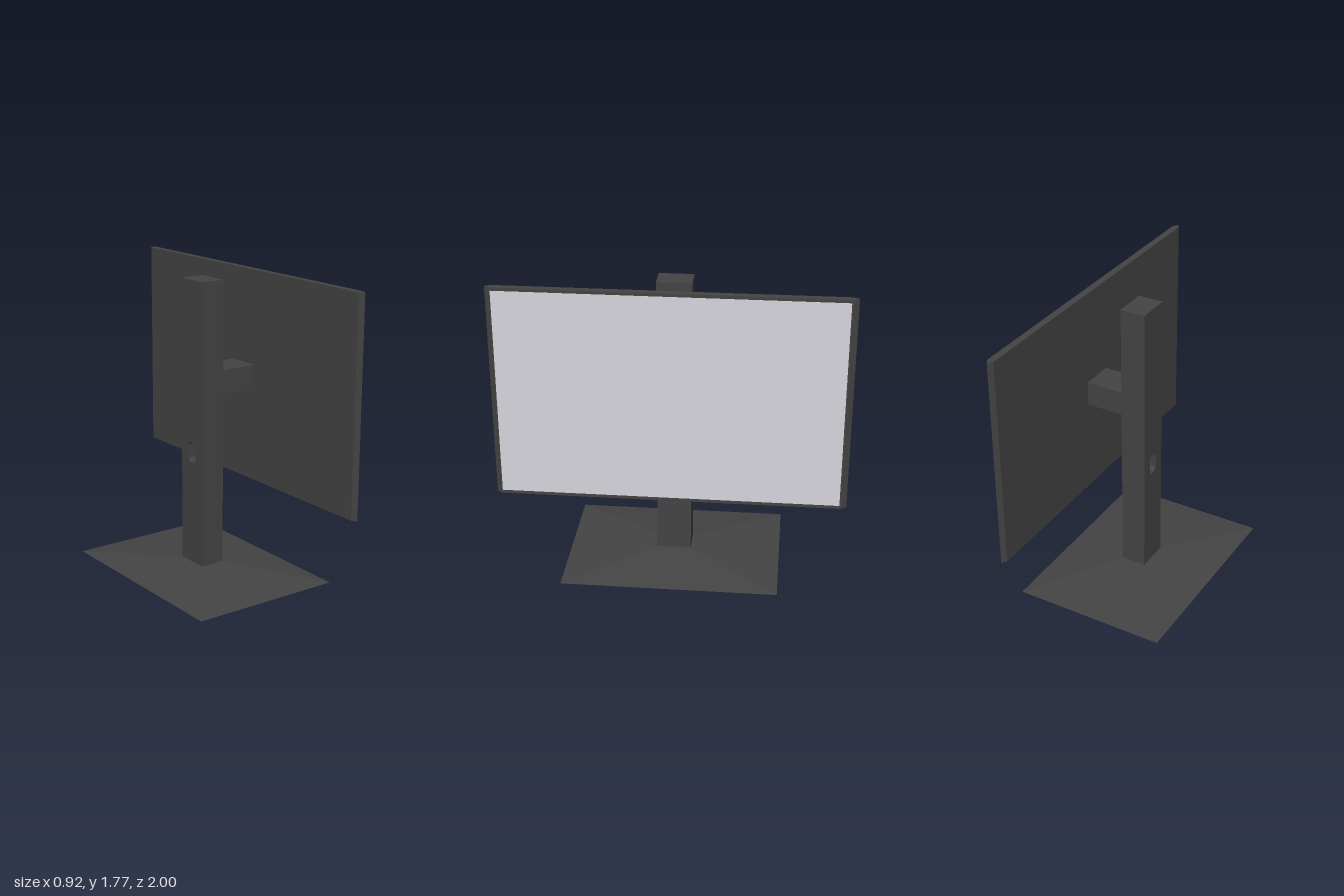
import * as THREE from 'three';

const dark = new THREE.MeshStandardMaterial({ color: 0x444444 });
const light = new THREE.MeshStandardMaterial({ color: 0xd6d5dc });

function add(parent, name, geometry, material = dark) {
  const mesh = new THREE.Mesh(geometry, material);
  mesh.name = name;
  parent.add(mesh);
  return mesh;
}

// Box given by its limits on each axis
function span(x0, x1, y0, y1, z0, z1) {
  return new THREE.BoxGeometry(x1 - x0, y1 - y0, z1 - z0)
    .translate((x0 + x1) / 2, (y0 + y1) / 2, (z0 + z1) / 2);
}

// Rectangle with clipped corners, centred on z = 0
function clippedPath(halfWidth, y0, y1, clip) {
  const w = halfWidth, c = clip;
  return new THREE.Path([
    [-w + c, y0], [w - c, y0], [w, y0 + c], [w, y1 - c],
    [w - c, y1], [-w + c, y1], [-w, y1 - c], [-w, y0 + c],
  ].map(([x, y]) => new THREE.Vector2(x, y)));
}

// Column layer from x0 to x1, optionally cut by a hole
function columnLayer(x0, x1, y0, y1, halfWidth, hole) {
  const shape = new THREE.Shape([
    [-halfWidth, y0], [halfWidth, y0], [halfWidth, y1], [-halfWidth, y1],
  ].map(([x, y]) => new THREE.Vector2(x, y)));
  if (hole) shape.holes.push(hole);
  return new THREE.ExtrudeGeometry(shape, { depth: x1 - x0, bevelEnabled: false })
    .rotateY(Math.PI / 2).translate(x0, 0, 0);
}

export function createModel() {
  const model = new THREE.Group();
  model.name = 'monitor';

  // Base: a low plate sloping up to the foot of the column
  const baseGeometry = span(-0.46, 0.46, 0, 0.05, -0.63, 0.63);
  const p = baseGeometry.attributes.position;
  for (let i = 0; i < p.count; i++) {
    if (p.getY(i) > 0.02) {
      p.setX(i, Math.sign(p.getX(i)) * 0.075);
      p.setZ(i, Math.sign(p.getZ(i)) * 0.1);
    }
  }
  baseGeometry.computeVertexNormals();
  add(model, 'base', baseGeometry);

  // Column: cable hole in the back, slide groove towards the panel
  const column = new THREE.Group();
  column.name = 'column';
  model.add(column);
  add(column, 'columnBack', columnLayer(-0.075, -0.03, 0.05, 1.74, 0.1,
    clippedPath(0.035, 0.67, 0.79, 0.018)));
  add(column, 'columnCore', columnLayer(-0.03, 0.045, 0.05, 1.74, 0.1));
  add(column, 'columnFront', columnLayer(0.045, 0.075, 0.05, 1.74, 0.1,
    clippedPath(0.035, 0.6, 1.7, 0.005)));

  // Arm from the groove to the panel
  add(model, 'arm', span(0.045, 0.3, 1.075, 1.22, -0.1, 0.1));

  // Panel: six-sided section with pointed side edges, extruded upwards
  const section = new THREE.Shape([
    [0.297, -0.97], [0.316, -1], [0.338, -0.967],
    [0.338, 0.967], [0.316, 1], [0.297, 0.97],
  ].map(([x, z]) => new THREE.Vector2(x, z)));
  const panel = new THREE.ExtrudeGeometry(section, { depth: 1.255, bevelEnabled: false })
    .rotateX(-Math.PI / 2).translate(0, 0.52, 0);
  add(model, 'panel', panel);

  // Screen
  add(model, 'screen', span(0.33, 0.34, 0.54, 1.757, -0.96, 0.965), light);

  return model;
}
